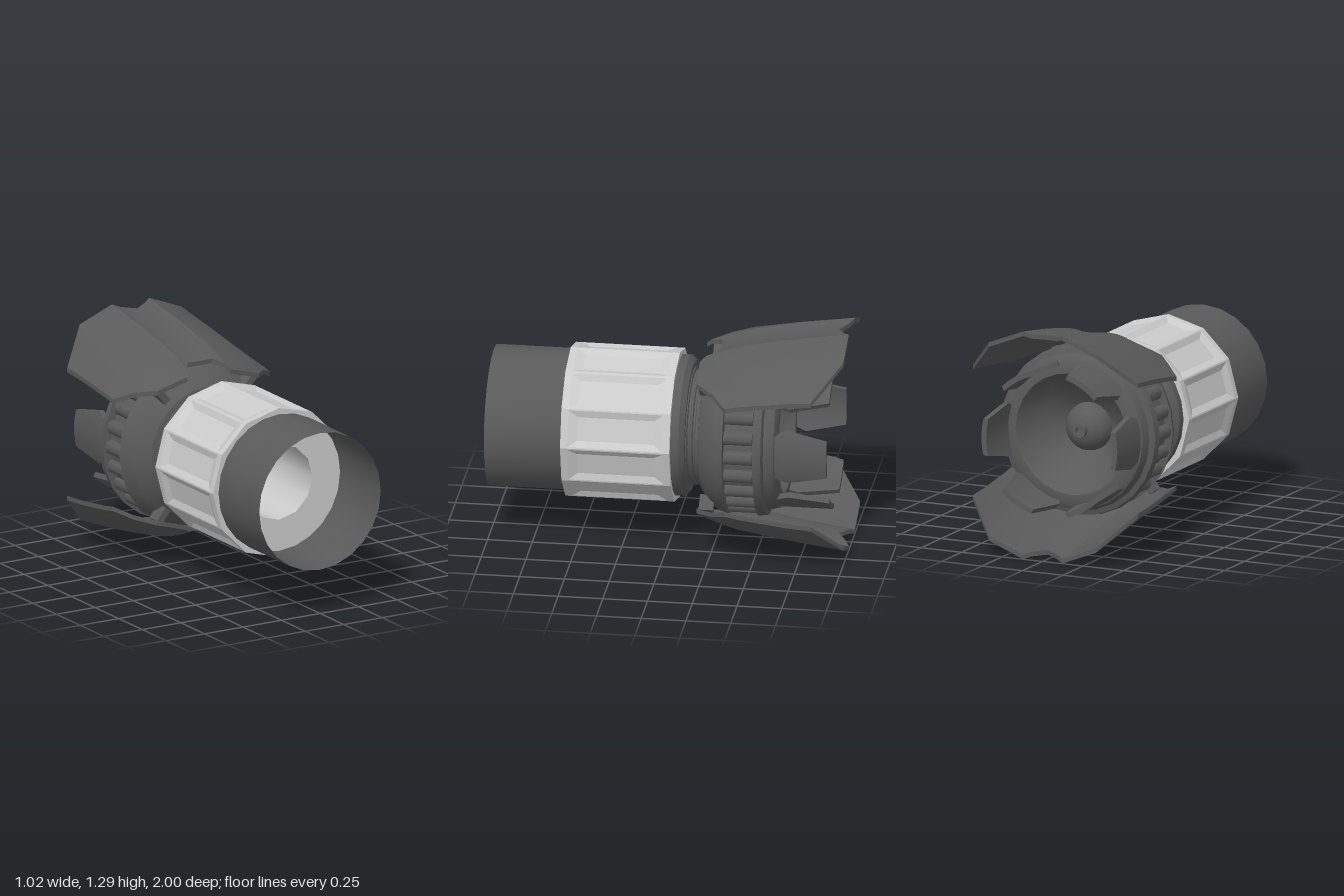
import * as THREE from 'three';
import { toCreasedNormals } from 'three/addons/utils/BufferGeometryUtils.js';

const AXIS_Y = 0.648;
const light = new THREE.MeshStandardMaterial({ color: 0xcccccc, side: THREE.DoubleSide });
const dark = new THREE.MeshStandardMaterial({ color: 0x5a5a5a, side: THREE.DoubleSide });

function add(parent, name, geometry, material) {
  const mesh = new THREE.Mesh(geometry, material);
  mesh.name = name;
  parent.add(mesh);
  return mesh;
}

// Surface of revolution about z from [radius, z] points
function turned(points, sides) {
  const profile = points.map(([r, z]) => new THREE.Vector2(r, z));
  return toCreasedNormals(new THREE.LatheGeometry(profile, sides).rotateX(Math.PI / 2), 0.55);
}

// Linear lookup in a list of [x, value] pairs
function lookup(table, x) {
  for (let i = 1; i < table.length; i++) {
    const [x0, v0] = table[i - 1], [x1, v1] = table[i];
    if (x <= x1) return v0 + (v1 - v0) * (x - x0) / (x1 - x0);
  }
  return table[table.length - 1][1];
}

// Thick mirrored plate: half-width columns, front and back outlines, height rule
function plate(halfColumns, front, back, height, thickness, rows) {
  const columns = [...halfColumns.slice(1).reverse().map(x => -x), ...halfColumns];
  const pos = [];
  const point = (i, j, lower) => {
    const x = columns[i], a = Math.abs(x);
    const z = THREE.MathUtils.lerp(lookup(front, a), lookup(back, a), j / rows);
    return [x, height(a, z) - (lower ? thickness : 0), z];
  };
  const quad = (a, b, c, d) => pos.push(...a, ...b, ...c, ...a, ...c, ...d);
  const n = columns.length - 1;
  for (let i = 0; i < n; i++) {
    for (let j = 0; j < rows; j++) {
      quad(point(i, j), point(i + 1, j), point(i + 1, j + 1), point(i, j + 1));
      quad(point(i, j, 1), point(i, j + 1, 1), point(i + 1, j + 1, 1), point(i + 1, j, 1));
    }
    quad(point(i, 0, 1), point(i + 1, 0, 1), point(i + 1, 0), point(i, 0));
    quad(point(i, rows), point(i + 1, rows), point(i + 1, rows, 1), point(i, rows, 1));
  }
  for (let j = 0; j < rows; j++) {
    quad(point(0, j), point(0, j + 1), point(0, j + 1, 1), point(0, j, 1));
    quad(point(n, j, 1), point(n, j + 1, 1), point(n, j + 1), point(n, j));
  }
  const g = new THREE.BufferGeometry();
  g.setAttribute('position', new THREE.Float32BufferAttribute(pos, 3));
  return toCreasedNormals(g, 0.5);
}

// One grip facet with a bevelled recess, facing +y
function gripFacet() {
  const h = 0.43 * Math.cos(Math.PI / 12), w = 0.43 * Math.sin(Math.PI / 12);
  const ring = (x, y, z0, z1) => [[-x, y, z1], [x, y, z1], [x, y, z0], [-x, y, z0]];
  const rings = [ring(w, h, -0.04, 0.57), ring(0.103, h, 0, 0.53), ring(0.066, h - 0.016, 0.05, 0.48)];
  const pos = [];
  const quad = (a, b, c, d) => pos.push(...a, ...b, ...c, ...a, ...c, ...d);
  for (let k = 0; k < 2; k++) {
    for (let i = 0; i < 4; i++) {
      const j = (i + 1) % 4;
      quad(rings[k][i], rings[k][j], rings[k + 1][j], rings[k + 1][i]);
    }
  }
  quad(...rings[2]);
  const g = new THREE.BufferGeometry();
  g.setAttribute('position', new THREE.Float32BufferAttribute(pos, 3));
  g.computeVertexNormals();
  return g;
}

export function createModel() {
  const model = new THREE.Group();
  model.name = 'nozzle';
  const body = new THREE.Group();
  body.name = 'body';
  body.position.y = AXIS_Y;
  model.add(body);

  // Open front sleeve
  add(body, 'frontTube', turned([[0.395, 0.56], [0.395, 1]], 24), dark);

  // Twelve-sided grip with its front face and bore
  const grip = new THREE.Group();
  grip.name = 'grip';
  body.add(grip);
  const facet = gripFacet();
  for (let i = 0; i < 12; i++) {
    add(grip, 'gripFacet', facet, light).rotation.z = (i + 0.5) * Math.PI / 6;
  }
  add(grip, 'gripFaceAndBore', turned([[0.38, -0.04], [0.215, -0.04], [0.215, 0.57], [0.43, 0.57]], 12), light);
  add(grip, 'gripBack', turned([[0.43, -0.04], [0.38, -0.04]], 12), light);

  // Collar and ribbed neck
  add(body, 'collar', turned([[0.33, -0.115], [0.365, -0.115], [0.395, -0.085], [0.395, -0.04]], 24), dark);
  add(body, 'neck', turned([[0.36, -0.19], [0.33, -0.185], [0.33, -0.17], [0.315, -0.165], [0.315, -0.155],
    [0.33, -0.15], [0.33, -0.14], [0.315, -0.135], [0.315, -0.125], [0.33, -0.12], [0.33, -0.11]], 24), dark);

  // Rear head with a roller channel
  add(body, 'rearHead', turned([[0.345, -0.64], [0.395, -0.64], [0.43, -0.62], [0.445, -0.565], [0.475, -0.555],
    [0.482, -0.51], [0.435, -0.505], [0.435, -0.345], [0.478, -0.34], [0.465, -0.3],
    [0.435, -0.25], [0.36, -0.19]], 24), dark);

  // Reflector cone with a hollow dome, open to the bore
  add(body, 'reflector', turned([[0.345, -0.64], [0.32, -0.585], [0.25, -0.49], [0.137, -0.41]], 24), dark);
  add(body, 'dome', turned([[0.03, -0.525], [0.07, -0.515], [0.105, -0.49], [0.13, -0.45], [0.137, -0.41]], 24), dark);
  add(body, 'emitter', turned([[0, -0.525], [0.02, -0.525], [0.02, -0.55], [0.04, -0.55], [0.042, -0.51],
    [0.04, -0.48], [0.024, -0.48], [0.024, -0.505], [0, -0.505]], 16), dark);

  // Rollers around the channel
  const roller = new THREE.CylinderGeometry(0.042, 0.042, 0.16, 8, 1).rotateX(Math.PI / 2);
  for (let i = 0; i < 24; i++) {
    const a = i * Math.PI / 12;
    add(body, 'roller', roller, dark).position.set(0.43 * Math.cos(a), 0.43 * Math.sin(a), -0.425);
  }

  // Six rear fingers
  const finger = plate([0, 0.055, 0.105, 0.13, 0.15],
    [[0, -0.58], [0.105, -0.6], [0.13, -0.64], [0.15, -0.69]],
    [[0, -0.915], [0.105, -0.915], [0.15, -0.7]],
    x => Math.sqrt(0.42 ** 2 - x * x), 0.03, 3);
  for (let i = 0; i < 6; i++) {
    add(body, 'rearFinger', finger, dark).rotation.z = (i + 0.5) * Math.PI / 3;
  }

  // Upper and lower flared shields with small brackets to the head
  const crest = [[0.16, 0.442], [0.22, 0.482], [0.4, 0.542], [0.7, 0.602], [1, 0.647]];
  const drop = [[0, 0.014], [0.08, 0.012], [0.12, 0], [0.33, 0.083], [0.51, 0.24]];
  const curl = [[0.16, 0.8], [0.84, 1], [1, 1]];
  const shield = plate([0, 0.08, 0.12, 0.14, 0.33, 0.42, 0.51],
    [[0, -0.27], [0.08, -0.27], [0.14, -0.17], [0.33, -0.18], [0.42, -0.28], [0.51, -0.36]],
    [[0, -0.93], [0.12, -1], [0.33, -1], [0.51, -0.84]],
    (x, z) => lookup(crest, -z) - lookup(drop, x) * lookup(curl, -z), 0.026, 7);
  const bracket = new THREE.BoxGeometry(0.04, 0.09, 0.08).translate(0, 0.445, -0.23);
  for (const [name, turn] of [['upperShield', 0], ['lowerShield', Math.PI]]) {
    add(body, name, shield, dark).rotation.z = turn;
    for (const side of [-1, 1]) {
      add(body, 'shieldBracket', bracket, dark).rotation.z = turn + side * 0.69;
    }
  }

  return model;
}
